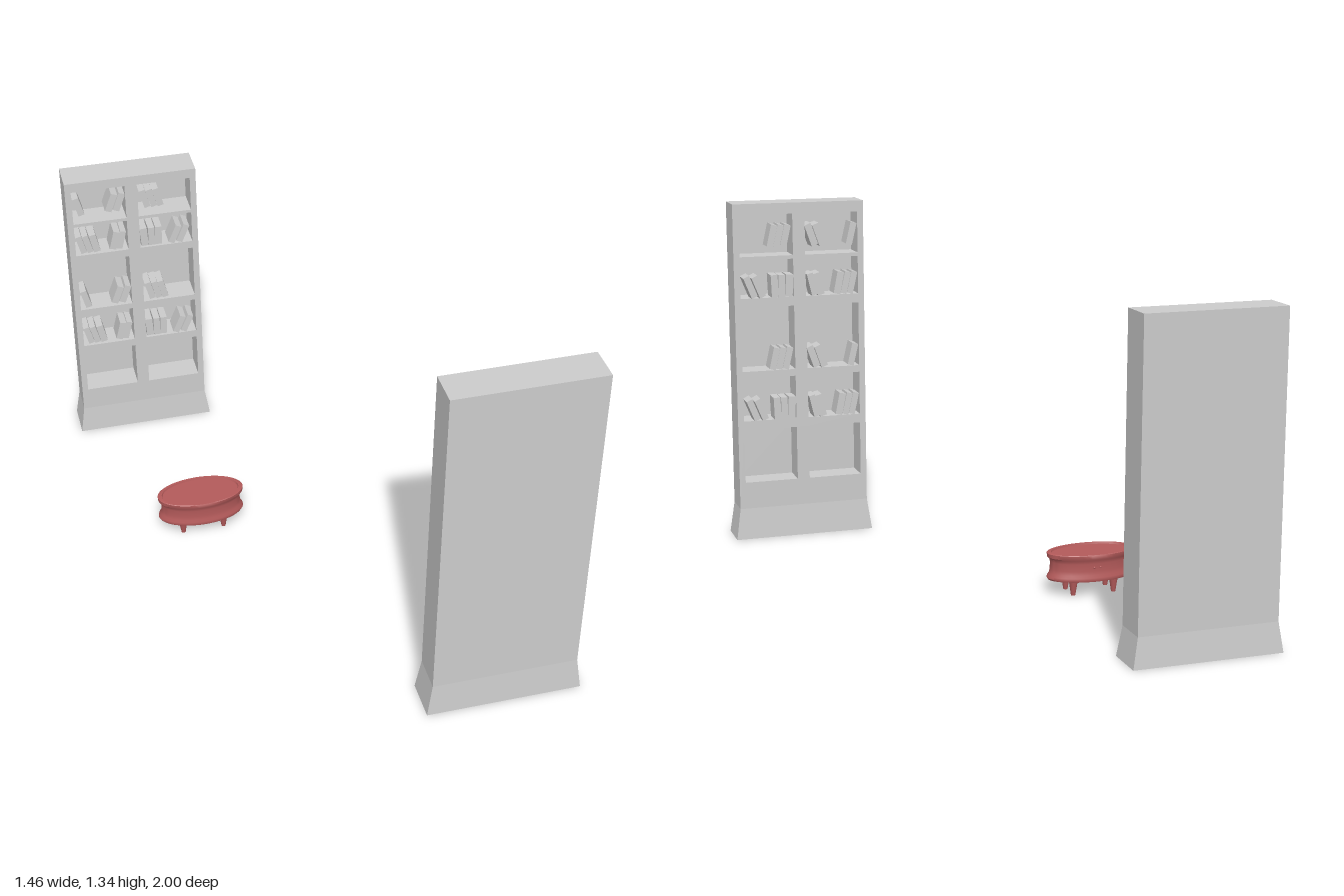
import * as THREE from 'three';
import { mergeGeometries, toCreasedNormals } from 'three/addons/utils/BufferGeometryUtils.js';

const grey = new THREE.MeshStandardMaterial({ color: 0xcccccc, side: THREE.DoubleSide });
const red = new THREE.MeshStandardMaterial({ color: 0xb35a5a, side: THREE.DoubleSide });

function mesh(name, geometry, material, parent) {
  const m = new THREE.Mesh(geometry, material);
  m.name = name;
  parent.add(m);
  return m;
}

// Flat panels, each from four corners given counter-clockwise
function panels(quads) {
  const points = quads.flatMap(([a, b, c, d]) => [a, b, c, a, c, d]).flat();
  const g = new THREE.BufferGeometry();
  g.setAttribute('position', new THREE.Float32BufferAttribute(points, 3));
  g.computeVertexNormals();
  return g;
}

// Rectangular section, counter-clockwise seen from above: front left, front right, back right, back left
const ring = (y, w, d) => [[-w, y, d], [w, y, d], [w, y, -d], [-w, y, -d]];

const HALF_W = 0.25, HALF_D = 0.063, KNEE = 0.107, TOP = 1.154, CELL_BACK = -0.042;
const columns = [[-0.227, -0.0235], [0.0235, 0.227]];
const rows = [[0.199, 0.383], [0.414, 0.5625], [0.586, 0.805], [0.836, 0.965], [0.977, 1.117]];

// Books: x of centre, tilt, thickness, and how far forward they stand
const sparse = [
  [-0.202, 0.26, 0.024, 0], [-0.077, -0.37, 0.026, 0], [-0.047, -0.37, 0.026, 0],
  [0.052, 0.25, 0.024, 0], [0.078, 0.25, 0.024, 0], [0.103, 0.25, 0.024, 0],
];
const full = [
  [-0.203, 0.25, 0.023, 0], [-0.178, 0.25, 0.023, 0], [-0.151, 0.22, 0.026, 0],
  [-0.073, -0.25, 0.026, 0], [-0.048, -0.25, 0.023, 0],
  [0.041, 0.06, 0.028, 0], [0.070, 0, 0.025, 0], [0.097, -0.04, 0.026, 0],
  [0.160, -0.42, 0.024, 0.01], [0.191, -0.42, 0.024, 0.01],
];
const shelves = [[0.414, full], [0.586, sparse], [0.836, full], [1.004, sparse]];

function bookcase(name, flip, bookShift) {
  const group = new THREE.Group();
  group.name = name;

  // Shell with a flared plinth, open underneath
  const base = ring(0, 0.2675, 0.0725), knee = ring(KNEE, HALF_W, HALF_D), top = ring(TOP, HALF_W, HALF_D);
  const quads = [top];
  for (let i = 0; i < 4; i++) {
    const j = (i + 1) % 4;
    quads.push([base[i], base[j], knee[j], knee[i]]);
    if (i > 0) quads.push([knee[i], knee[j], top[j], top[i]]);
  }
  mesh('caseShell', panels(quads), grey, group);

  // Front frame with an opening per compartment, plus the compartment walls
  const face = new THREE.Shape();
  face.moveTo(-HALF_W, KNEE).lineTo(HALF_W, KNEE).lineTo(HALF_W, TOP).lineTo(-HALF_W, TOP).closePath();
  const walls = [];
  for (const [l, r] of columns) for (const [b, t] of rows) {
    const hole = new THREE.Path();
    hole.moveTo(l, b).lineTo(l, t).lineTo(r, t).lineTo(r, b).closePath();
    face.holes.push(hole);
    const f = [[l, b, HALF_D], [r, b, HALF_D], [r, t, HALF_D], [l, t, HALF_D]];
    const k = f.map(([x, y]) => [x, y, CELL_BACK]);
    walls.push(k);
    for (let i = 0; i < 4; i++) {
      const j = (i + 1) % 4;
      walls.push([f[i], f[j], k[j], k[i]]);
    }
  }
  mesh('frontFrame', new THREE.ShapeGeometry(face), grey, group).position.z = HALF_D;
  mesh('compartments', panels(walls), grey, group);

  // Leaning books, lowest corner resting at the shelf height
  const h = 0.076, d = 0.075;
  for (const [y, list] of shelves) {
    const books = list.map(([x, tilt, w, forward]) => {
      const lift = (h * Math.cos(tilt) + w * Math.abs(Math.sin(tilt))) / 2;
      return new THREE.BoxGeometry(w, h, d)
        .rotateZ(tilt * flip)
        .translate(x * flip, y + lift, HALF_D - 0.011 - d / 2 + forward + bookShift);
    });
    mesh('books', mergeGeometries(books), grey, group);
  }
  return group;
}

function ovalStool() {
  const stool = new THREE.Group();
  stool.name = 'ovalStool';

  // Oval body: recessed underside, lower bead, waist, rim and slightly sunken seat
  const profile = [
    [0, 0.085], [0.146, 0.085], [0.15, 0.057], [0.16, 0.056], [0.164, 0.062], [0.162, 0.07],
    [0.155, 0.08], [0.152, 0.095], [0.152, 0.122], [0.155, 0.134], [0.163, 0.14],
    [0.164, 0.154], [0.161, 0.156], [0.148, 0.156], [0.145, 0.15], [0, 0.15],
  ].map(([r, y]) => new THREE.Vector2(r, y));
  const body = new THREE.LatheGeometry(profile, 48).scale(1, 1, 0.51);
  mesh('stoolBody', toCreasedNormals(body, 0.7), red, stool);

  // Four tapered legs
  for (const sx of [-1, 1]) for (const sz of [-1, 1]) {
    const leg = new THREE.CylinderGeometry(0.021, 0.008, 0.086, 16);
    mesh('stoolLeg', leg, red, stool).position.set(sx * 0.078, 0.043, sz * 0.039);
  }

  // Pair of small studs at the back
  for (const x of [-0.012, 0.012]) {
    mesh('stud', new THREE.SphereGeometry(0.004, 10, 8), red, stool).position.set(x, 0.108, -0.077);
  }
  return stool;
}

export function createModel() {
  const model = new THREE.Group();
  model.name = 'libraryFurniture';

  const rear = bookcase('rearBookcase', 1, 0);
  rear.position.set(-0.4635, 0, -0.926);

  // Taller case turned to face the other one
  const front = bookcase('frontBookcase', -1, 0.015);
  front.rotation.y = Math.PI;
  front.scale.set(1.038, 1.158, 1);
  front.position.set(0.448, 0, 0.927);

  const stool = ovalStool();
  stool.position.set(-0.371, 0, -0.178);

  model.add(rear, front, stool);
  return model;
}
